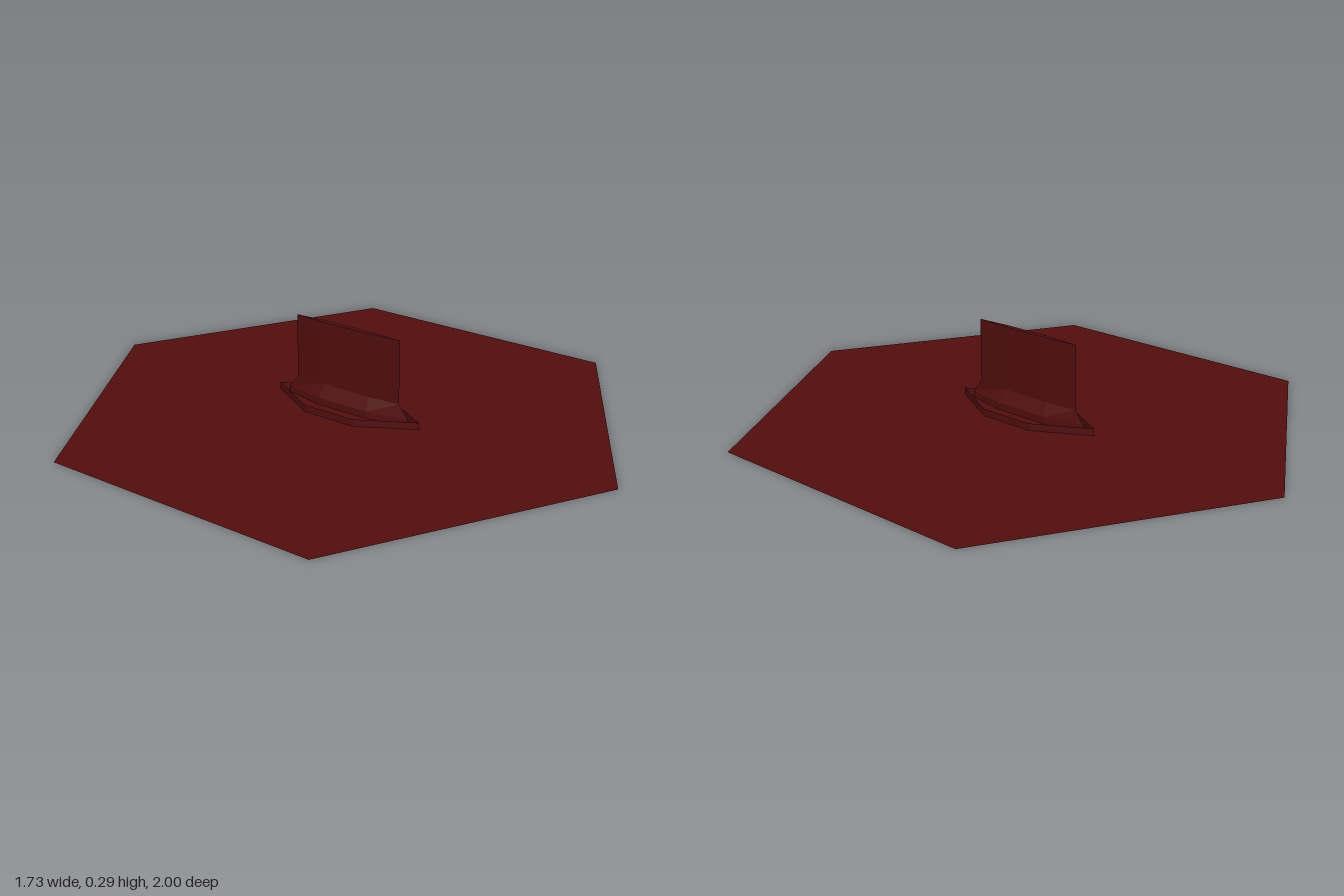
import * as THREE from 'three';

// Long, pointed six-sided outline: half width w, half length l, shoulder at z = s
const outline = (w, l, s) => [[0, l], [w, s], [w, -s], [0, -l], [-w, -s], [-w, s]];

// Skin a stack of six-sided sections, each { y, pts }, with an optional top cap
function loft(sections, capped) {
  const pos = [];
  const put = (s, i) => pos.push(s.pts[i % 6][0], s.y, s.pts[i % 6][1]);
  for (let k = 0; k + 1 < sections.length; k++) {
    const a = sections[k], b = sections[k + 1];
    for (let i = 0; i < 6; i++) {
      put(a, i); put(a, i + 1); put(b, i + 1);
      put(a, i); put(b, i + 1); put(b, i);
    }
  }
  if (capped) {
    const top = sections[sections.length - 1];
    for (let i = 1; i < 5; i++) { put(top, 0); put(top, i); put(top, i + 1); }
  }
  const geo = new THREE.BufferGeometry();
  geo.setAttribute('position', new THREE.Float32BufferAttribute(pos, 3));
  geo.computeVertexNormals();
  return geo;
}

export function createModel() {
  const group = new THREE.Group();
  const darkRed = new THREE.MeshStandardMaterial({ color: 0x520e0e, side: THREE.DoubleSide, flatShading: true });
  darkRed.name = 'darkRed';
  const add = (name, geo) => {
    const mesh = new THREE.Mesh(geo, darkRed);
    mesh.name = name;
    group.add(mesh);
  };

  const foot = outline(0.03, 0.245, 0.1);
  const blade = outline(0.009, 0.21, 0.09);

  // Flat hexagonal floor with a slot under the hollow fin
  const vec = (p) => new THREE.Vector2(p[0], -p[1]);
  const hex = [];
  for (let i = 0; i < 6; i++) {
    const a = (i * Math.PI) / 3;
    hex.push(new THREE.Vector2(Math.sin(a), Math.cos(a)));
  }
  const floor = new THREE.Shape(hex);
  floor.holes.push(new THREE.Path(foot.map(vec)));
  add('floor', new THREE.ShapeGeometry(floor).rotateX(-Math.PI / 2));

  // Low rim around the fin
  const rim = outline(0.105, 0.29, 0.1);
  add('rim', loft([{ y: 0, pts: rim }, { y: 0.025, pts: rim }], false));

  // Flared foot and upright blade
  add('foot', loft([{ y: 0, pts: foot }, { y: 0.025, pts: foot }, { y: 0.07, pts: blade }], false));
  add('blade', loft([{ y: 0.07, pts: blade }, { y: 0.295, pts: blade }], true));

  return group;
}
